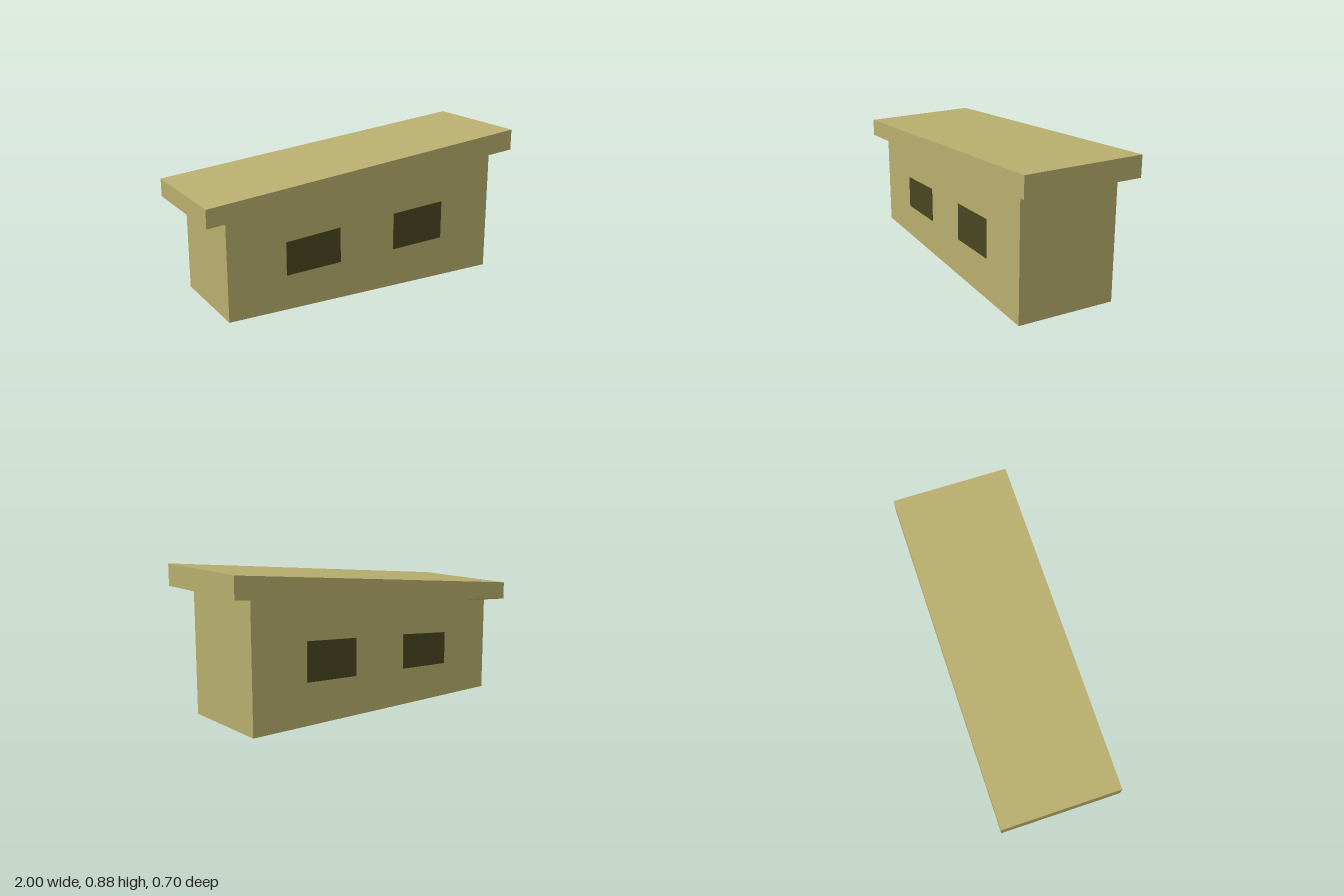
import * as THREE from 'three';

// Four corners of a rectangular ring whose height slopes from -x to +x
const ring = (hx, hz, yLow, yHigh) => [
  [-hx, yLow, hz], [hx, yHigh, hz], [hx, yHigh, -hz], [-hx, yLow, -hz],
];

// Faceted skin through a stack of rings, with optional end caps
function loft(rings, capBottom, capTop) {
  const pos = [];
  const quad = (a, b, c, d) => pos.push(...a, ...b, ...c, ...a, ...c, ...d);
  for (let r = 0; r < rings.length - 1; r++) {
    const lo = rings[r], hi = rings[r + 1];
    for (let i = 0; i < 4; i++) {
      const j = (i + 1) % 4;
      quad(lo[i], lo[j], hi[j], hi[i]);
    }
  }
  if (capBottom) quad(...[...rings[0]].reverse());
  if (capTop) quad(...rings[rings.length - 1]);
  const geo = new THREE.BufferGeometry();
  geo.setAttribute('position', new THREE.Float32BufferAttribute(pos, 3));
  geo.computeVertexNormals();
  return geo;
}

export function createModel() {
  const group = new THREE.Group();
  const wallMat = new THREE.MeshStandardMaterial({ color: 0xb8ae6e });
  wallMat.name = 'khaki';
  const windowMat = new THREE.MeshStandardMaterial({ color: 0x4a4522 });
  windowMat.name = 'darkWindow';
  const add = (name, geo, mat) => {
    const mesh = new THREE.Mesh(geo, mat);
    mesh.name = name;
    group.add(mesh);
    return mesh;
  };

  // Walls rise to a slanted top; the roof starts with the soffit around them
  const wallHalfZ = 0.295;
  const wallTop = ring(0.875, wallHalfZ, 0.57, 0.75);
  add('walls', loft([ring(0.875, wallHalfZ, 0, 0), wallTop], true, false), wallMat);
  add('roof', loft([
    wallTop,
    ring(1, 0.348, 0.57, 0.75),
    ring(1, 0.348, 0.675, 0.875),
  ], false, true), wallMat);

  // Slanted window plates: two on the front and two on the back
  const panes = {
    low: [[-0.523, 0.205], [-0.18, 0.22], [-0.18, 0.428], [-0.523, 0.4]],
    high: [[0.18, 0.231], [0.523, 0.246], [0.523, 0.476], [0.18, 0.452]],
  };
  const depth = 0.004;
  for (const [key, corners] of Object.entries(panes)) {
    const shape = new THREE.Shape(corners.map(([x, y]) => new THREE.Vector2(x, y)));
    const geo = new THREE.ExtrudeGeometry(shape, { depth, bevelEnabled: false });
    add(`${key}FrontWindow`, geo, windowMat).position.z = wallHalfZ;
    add(`${key}BackWindow`, geo, windowMat).position.z = -wallHalfZ - depth;
  }
  return group;
}
